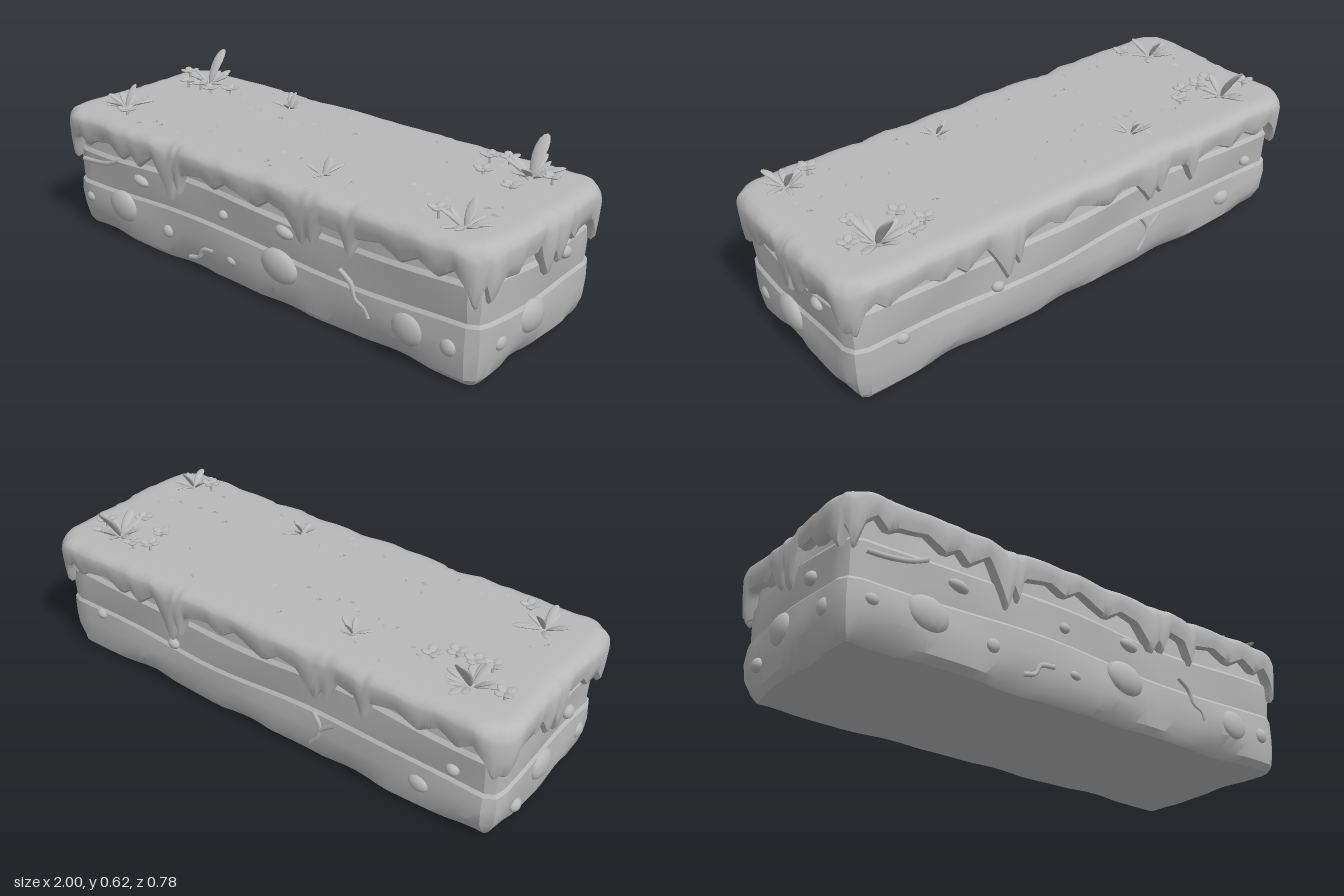
import * as THREE from 'three';
import { toCreasedNormals } from 'three/addons/utils/BufferGeometryUtils.js';

const TOP = 0.494;

function seeded(seed) {
  return () => {
    seed = (seed * 16807) % 2147483647;
    return seed / 2147483647;
  };
}

// Axes of one of the four walls: 0 front, 1 +x end, 2 back, 3 -x end.
function wall(k) {
  const s = [0, 1, 0, -1][k], c = [1, 0, -1, 0][k];
  return { n: [s, c], t: [c, -s] };
}

// Points and outward normals round a rounded rectangle, starting at the front.
function perimeter(a, b, r, count) {
  const arc = Math.PI * r / 2;
  const total = 4 * (a + b - 2 * r) + 4 * arc;
  const out = [];
  for (let i = 0; i < count; i++) {
    let d = total * i / count, k = 0;
    const side = (q) => 2 * ((q % 2 ? b : a) - r);
    while (k < 3 && d >= side(k) + arc) { d -= side(k) + arc; k++; }
    const { n, t } = wall(k), hn = k % 2 ? a : b, ht = k % 2 ? b : a;
    const f = Math.max(0, d - side(k)) / r;
    const along = Math.min(d, side(k)) - (ht - r);
    const nx = n[0] * Math.cos(f) + t[0] * Math.sin(f);
    const nz = n[1] * Math.cos(f) + t[1] * Math.sin(f);
    out.push({
      x: n[0] * (hn - r) + t[0] * along + nx * r,
      z: n[1] * (hn - r) + t[1] * along + nz * r,
      nx, nz,
    });
  }
  return out;
}

// Skin over rings of points listed from the bottom up; closed ends use a centre point.
function loft(rings, closeBottom, closeTop) {
  const m = rings[0].length, pos = rings.flat(2), idx = [];
  for (let j = 0; j < rings.length - 1; j++) {
    for (let i = 0; i < m; i++) {
      const p = j * m + i, q = j * m + (i + 1) % m;
      idx.push(p, q, q + m, p, q + m, p + m);
    }
  }
  const close = (row, flip) => {
    const c = pos.length / 3;
    pos.push(0, rings[row][0][1], 0);
    for (let i = 0; i < m; i++) {
      const p = row * m + i, q = row * m + (i + 1) % m;
      idx.push(...(flip ? [q, p, c] : [p, q, c]));
    }
  };
  if (closeBottom) close(0, true);
  if (closeTop) close(rings.length - 1, false);
  const g = new THREE.BufferGeometry();
  g.setAttribute('position', new THREE.Float32BufferAttribute(pos, 3));
  g.setIndex(idx);
  return g;
}

// Ragged lower edge of the turf as position, height pairs.
const LONG_HEM = [-0.99, 0.29, -0.95, 0.285, -0.92, 0.37, -0.88, 0.4, -0.84, 0.36, -0.8, 0.385, -0.7, 0.4,
  -0.63, 0.355, -0.58, 0.39, -0.54, 0.35, -0.46, 0.41, -0.43, 0.36, -0.4, 0.3, -0.375, 0.245, -0.35, 0.34,
  -0.33, 0.29, -0.31, 0.38, -0.2, 0.4, -0.14, 0.37, -0.08, 0.41, 0, 0.38, 0.06, 0.36, 0.12, 0.4, 0.2, 0.38,
  0.24, 0.33, 0.27, 0.285, 0.3, 0.34, 0.32, 0.3, 0.36, 0.39, 0.44, 0.38, 0.475, 0.295, 0.5, 0.38, 0.6, 0.4,
  0.68, 0.36, 0.75, 0.4, 0.82, 0.36, 0.88, 0.4, 0.92, 0.35, 0.95, 0.285, 0.99, 0.29];
const END_HEM = [-0.39, 0.28, -0.37, 0.28, -0.35, 0.3, -0.32, 0.29, -0.27, 0.38, -0.18, 0.37, -0.15, 0.35,
  -0.12, 0.385, -0.07, 0.3, -0.05, 0.31, -0.03, 0.36, -0.01, 0.28, 0.01, 0.285, 0.04, 0.35, 0.06, 0.41,
  0.07, 0.385, 0.15, 0.39, 0.18, 0.35, 0.25, 0.36, 0.28, 0.32, 0.31, 0.29, 0.33, 0.36, 0.36, 0.285, 0.39, 0.29];

function sample(list, v) {
  let i = 0;
  while (i < list.length - 4 && v > list[i + 2]) i += 2;
  const f = THREE.MathUtils.clamp((v - list[i]) / (list[i + 2] - list[i]), 0, 1);
  return THREE.MathUtils.lerp(list[i + 1], list[i + 3], f);
}

const hemHeight = (p) => Math.abs(p.nz) >= Math.abs(p.nx)
  ? sample(LONG_HEM, p.nz > 0 ? p.x : -p.x) : sample(END_HEM, p.z);

// Soil block: strata ledges with uneven, chipped walls.
function soilGeometry() {
  const rows = [[0, 0.035], [0.025, 0.014], [0.08, 0], [0.14, -0.004], [0.2, 0], [0.212, 0.009], [0.27, 0.004],
    [0.335, 0.002], [0.35, 0.013], [0.43, 0.02]];
  const pts = perimeter(0.962, 0.343, 0.06, 110);
  return toCreasedNormals(loft(rows.map(([y, inset]) => pts.map((p) => {
    const chip = y < 0.05 ? 0.014 * Math.max(0, Math.sin(p.x * 13 + p.z * 17)) : 0;
    const d = inset + chip + 0.006 * Math.sin(p.x * 9 + y * 14) * Math.cos(p.z * 11 - y * 9);
    return [p.x - p.nx * d, y + (y > 0.19 ? 0.012 * Math.sin(p.x * 5 + p.z * 8) : 0), p.z - p.nz * d];
  })), true, true), 0.45);
}

// Turf: flat top, rounded shoulder and hanging ragged hem.
function turfGeometry() {
  const pts = perimeter(0.99, 0.378, 0.1, 560);
  const rows = [[0, 0.05, 0.02], [0, 0.02, 0], [0.08, 0.006, 0], [0.35, 0, 0], [0.7, -0.004, 0], [0.8, 0.001, 0],
    [0.9, 0.012, 0], [0.96, 0.026, 0], [0.99, 0.043, 0], [1, 0.062, 0], [1, 0.09, 0]];
  return toCreasedNormals(loft(rows.map(([f, inset, lift]) => pts.map((p) => {
    const hem = hemHeight(p);
    const wave = 0.004 * Math.sin(p.x * 14 + p.z * 9) + 0.002 * Math.sin(p.x * 31 - p.z * 25);
    const d = inset - wave;
    return [p.x - p.nx * d, THREE.MathUtils.lerp(hem, TOP, f) + lift, p.z - p.nz * d];
  })), false, true), 0.8);
}

// Plump leaf, one unit long, curling towards +z.
function leafGeometry() {
  const g = new THREE.SphereGeometry(1, 8, 8), a = g.attributes.position;
  for (let i = 0; i < a.count; i++) {
    const t = (a.getY(i) + 1) / 2, w = 0.5 + 0.5 * t;
    a.setXYZ(i, a.getX(i) * 0.21 * w, t, a.getZ(i) * 0.07 + 0.22 * t * t);
  }
  g.computeVertexNormals();
  return g;
}

export function createModel() {
  const model = new THREE.Group();
  const grey = new THREE.MeshStandardMaterial({ color: 0xb8b8b8 });
  grey.name = 'stone grey';
  const rand = seeded(4211);
  const add = (name, geometry, parent = model) => {
    const mesh = new THREE.Mesh(geometry, grey);
    mesh.name = name;
    parent.add(mesh);
    return mesh;
  };
  // Point on a wall, given the distance along it and the height.
  const onWall = (k, u, y, out = 0) => {
    const { n, t } = wall(k), h = (k % 2 ? 0.96 : 0.342) + out;
    return new THREE.Vector3(n[0] * h + t[0] * u, y, n[1] * h + t[1] * u);
  };

  add('soilBlock', soilGeometry());
  add('turf', turfGeometry());

  // Embedded pebbles: along the wall, height, half width, half height.
  const pebble = new THREE.SphereGeometry(1, 14, 10);
  const pebbles = [
    [[-0.67, 0.15, 0.08, 0.06], [-0.87, 0.135, 0.025, 0.02], [-0.56, 0.285, 0.04, 0.02], [-0.42, 0.12, 0.025, 0.025],
      [-0.08, 0.11, 0.025, 0.016], [0.15, 0.165, 0.085, 0.06], [0.175, 0.3, 0.04, 0.022], [0.7, 0.13, 0.065, 0.055],
      [0.855, 0.125, 0.03, 0.03], [-0.12, 0.275, 0.02, 0.018]],
    [[-0.22, 0.13, 0.031, 0.026], [-0.045, 0.152, 0.078, 0.058], [0.145, 0.305, 0.03, 0.022]],
    [[-0.78, 0.2, 0.025, 0.02], [-0.4, 0.22, 0.025, 0.02], [0.68, 0.13, 0.04, 0.03], [0.8, 0.25, 0.025, 0.02]],
    [[-0.05, 0.16, 0.065, 0.055], [0.12, 0.27, 0.03, 0.025], [-0.2, 0.09, 0.03, 0.025], [0.22, 0.13, 0.03, 0.03]],
  ];
  pebbles.forEach((list, k) => list.forEach(([u, y, w, h]) => {
    const m = add('pebble', pebble);
    m.position.copy(onWall(k, u, y));
    m.rotation.set(0, k * Math.PI / 2, -0.2, 'YXZ');
    m.scale.set(w, h, 0.012 + w * 0.22);
  }));

  // Thin roots lying on the walls.
  const roots = [
    [0, [0.42, 0.245], [0.47, 0.21], [0.49, 0.16], [0.53, 0.14], [0.545, 0.11]],
    [0, [-0.3, 0.055], [-0.25, 0.07], [-0.23, 0.105], [-0.17, 0.115]],
    [0, [-0.9, 0.29], [-0.82, 0.295], [-0.74, 0.31], [-0.68, 0.335]],
    [2, [0.25, 0.22], [0.28, 0.17], [0.27, 0.12], [0.24, 0.08]],
    [2, [0.34, 0.2], [0.3, 0.17], [0.28, 0.15]],
  ];
  roots.forEach(([k, ...pts]) => {
    const curve = new THREE.CatmullRomCurve3(pts.map(([u, y]) => onWall(k, u, y, 0.003)));
    add('root', new THREE.TubeGeometry(curve, 14, 0.009, 6));
  });

  // Leafy tufts: x, z, leaf count, leaf length, height of the tallest leaf.
  const leaf = leafGeometry();
  const tufts = [[-0.77, -0.22, 10, 0.1, 0.14], [0.77, -0.22, 10, 0.1, 0.14], [-0.8, 0.2, 8, 0.09, 0.085],
    [0.83, 0.25, 8, 0.09, 0.085], [0.24, 0.22, 5, 0.065, 0.06], [-0.31, -0.21, 5, 0.065, 0.06]];
  for (const [x, z, count, length, tall] of tufts) {
    const tuft = new THREE.Group();
    tuft.name = 'leafTuft';
    tuft.position.set(x, TOP - 0.004, z);
    model.add(tuft);
    for (let i = 0; i <= count; i++) {
      const m = add('leaf', leaf, tuft), yaw = i * 2.4 + rand() * 0.5;
      if (i === count) {
        m.rotation.set(0.38, Math.PI, 0, 'YXZ');
        m.scale.setScalar(tall * 1.1);
      } else {
        m.rotation.set(0.65 + rand() * 0.5, yaw, 0, 'YXZ');
        m.position.set(Math.sin(yaw) * 0.012, 0, Math.cos(yaw) * 0.012);
        m.scale.setScalar(length * (0.75 + rand() * 0.4));
      }
    }
  }

  // Low clover clusters beside the tufts.
  const petal = new THREE.SphereGeometry(1, 8, 6);
  const clovers = [[0.6, -0.23], [0.64, -0.13], [0.66, -0.26], [0.78, -0.08], [0.86, -0.2], [-0.71, 0.27], [-0.89, -0.22],
    [-0.79, -0.12], [-0.73, -0.13], [-0.6, -0.17], [-0.66, -0.12], [0.74, 0.26]];
  for (const [x, z] of clovers) {
    const h = 0.016 + rand() * 0.022, turn = rand() * 6;
    for (let i = 0; i < 4; i++) {
      const a = turn + i * Math.PI / 2, m = add('cloverLeaf', petal);
      m.position.set(x + Math.sin(a) * 0.02, TOP + h, z + Math.cos(a) * 0.02);
      m.rotation.set(-0.25, a, 0, 'YXZ');
      m.scale.set(0.016, 0.005, 0.019);
    }
    add('cloverStem', new THREE.CylinderGeometry(0.004, 0.005, h, 5)).position.set(x, TOP + h / 2, z);
  }

  // Short grass flecks on the top and the shoulder.
  const fleck = new THREE.ConeGeometry(1, 1, 3);
  for (let i = 0; i < 76; i++) {
    const m = add('grassFleck', fleck), edge = i > 55;
    const z = (rand() < 0.5 ? -1 : 1) * (edge ? 0.345 : 0.06 + rand() * 0.24);
    m.position.set((rand() * 2 - 1) * 0.88, edge ? 0.486 : TOP + 0.002, z);
    m.rotation.y = rand() * 6;
    m.scale.set(0.016 + rand() * 0.01, 0.012, 0.006);
  }
  return model;
}
